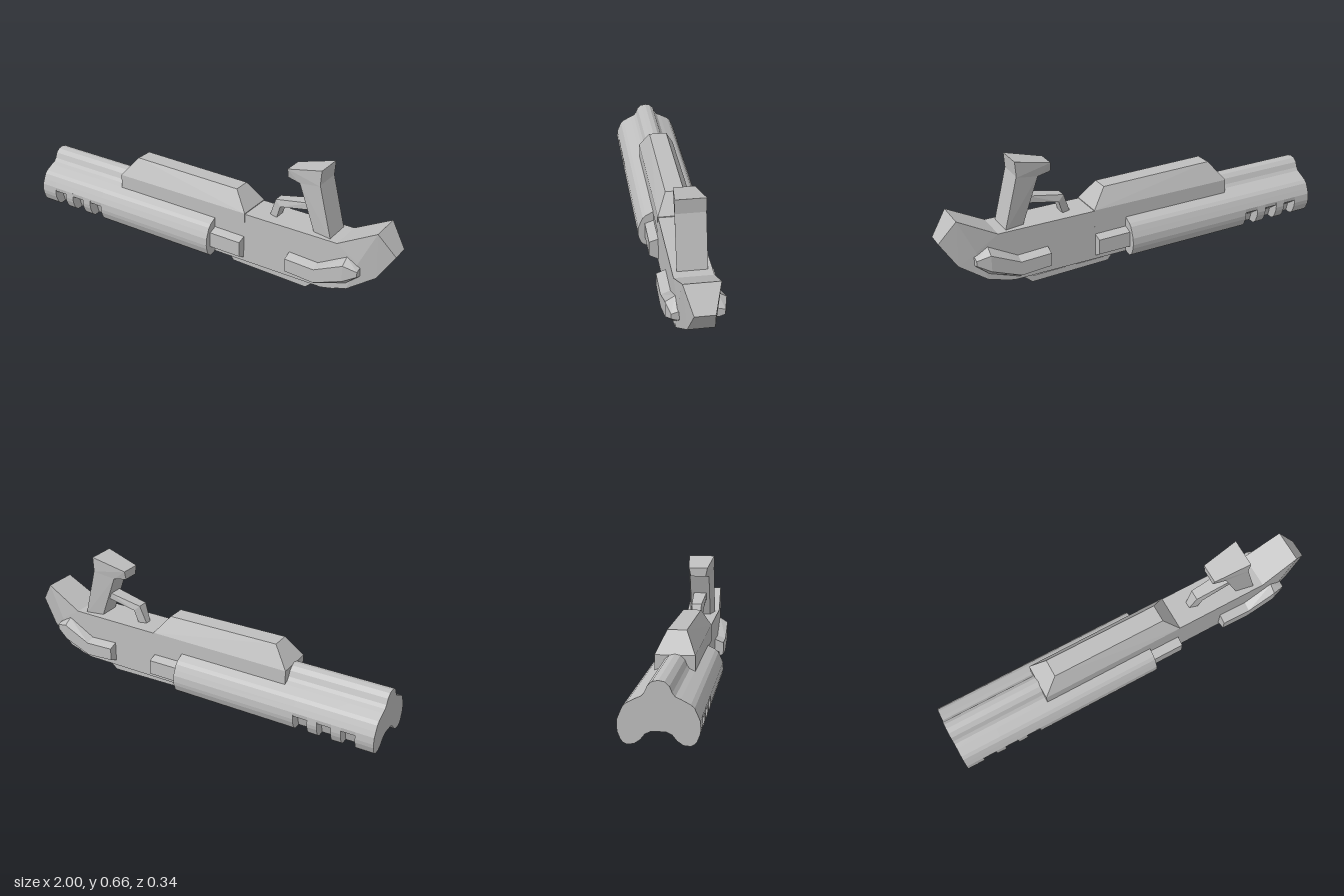
import * as THREE from 'three';
import { ConvexGeometry } from 'three/addons/geometries/ConvexGeometry.js';

const metal = new THREE.MeshStandardMaterial({ color: 0xbebebe });
metal.name = 'plain grey';
metal.flatShading = true;

export function createModel() {
  const model = new THREE.Group();
  model.name = 'blaster';
  const add = (name, geometry) => {
    const mesh = new THREE.Mesh(geometry, metal);
    mesh.name = name;
    model.add(mesh);
    return mesh;
  };
  const shapeOf = (pts) => new THREE.Shape(pts.map(([a, b]) => new THREE.Vector2(a, b)));
  // Side profile given in x, y and extruded to z = +-half
  const slab = (pts, half, holes = []) => {
    const shape = shapeOf(pts);
    holes.forEach((h) => shape.holes.push(shapeOf(h)));
    return new THREE.ExtrudeGeometry(shape, { depth: 2 * half, bevelEnabled: false }).translate(0, 0, -half);
  };
  const hull = (pts) => new ConvexGeometry(pts.map((p) => new THREE.Vector3(...p)));
  // Convex block from points [x, y, half width], mirrored in z
  const block = (pts) => hull(pts.flatMap(([x, y, z]) => [[x, y, z], [x, y, -z]]));

  // Three-lobed barrel shroud: half section as [z, y] from top to bottom
  const upper = [[0, 0.368], [0.025, 0.363], [0.045, 0.345], [0.056, 0.318], [0.068, 0.303],
    [0.09, 0.293], [0.13, 0.272], [0.145, 0.258], [0.157, 0.232], [0.168, 0.205]];
  const lobe = [[0.17, 0.17], [0.167, 0.15], [0.155, 0.12], [0.145, 0.108], [0.13, 0.1]];
  const under = [[0.1, 0.103], [0.075, 0.12], [0.055, 0.145], [0.03, 0.157]];
  const cut = [[0.166, 0.185], [0.115, 0.15]];
  const section = (half) => half.concat(half.slice(1).reverse().map(([z, y]) => [-z, y]));
  const full = section([...upper, ...lobe, ...under]);
  const vented = section([...upper, ...cut, ...under]);
  const stops = [-1, -0.91, -0.84, -0.79, -0.72, -0.67, -0.597, 0.07];
  const droop = new THREE.Matrix4().makeShear(-0.019, 0, 0, 0, 0, 0);
  for (let i = 0; i < stops.length - 1; i++) {
    const g = new THREE.ExtrudeGeometry(shapeOf(i % 2 ? vented : full),
      { depth: stops[i + 1] - stops[i], bevelEnabled: false });
    g.rotateY(Math.PI / 2).translate(stops[i], 0, 0).applyMatrix4(droop).translate(0, -0.019, 0);
    add(i % 2 ? 'barrelVent' : 'barrelShroud', g);
  }

  // Receiver and tapered butt
  add('receiver', slab([[0, 0.087], [0.66, 0.075], [0.73, 0.09], [0.73, 0.33], [0, 0.342]], 0.09));
  add('butt', block([[0.73, 0.33, 0.09], [0.66, 0.075, 0.09], [0.79, 0.11, 0.09], [0.84, 0.26, 0.09],
    [0.92, 0.43, 0.082], [1, 0.32, 0.046], [0.92, 0.195, 0.061]]));

  // Bevelled cover over the barrel
  add('barrelCover', block([[-0.51, 0.274, 0.092], [0.24, 0.254, 0.092], [-0.51, 0.354, 0.092],
    [0.24, 0.342, 0.092], [-0.43, 0.453, 0.045], [0.165, 0.435, 0.045]]));

  // Side blocks and curved rear rails; sections are [x, low, low bevel, high bevel, high, z]
  const frontBlock = [[0.05, 0.105, 0.13, 0.207, 0.222, 0.135], [0.237, 0.102, 0.126, 0.202, 0.216, 0.135]];
  const rearRail = [[0.488, 0.107, 0.128, 0.193, 0.21, 0.135], [0.64, 0.09, 0.115, 0.184, 0.2, 0.135],
    [0.785, 0.14, 0.17, 0.25, 0.277, 0.135], [0.85, 0.195, 0.205, 0.23, 0.238, 0.118]];
  const ring = ([x, a, b, c, d, z], s) =>
    [[x, a, 0.075 * s], [x, a, 0.092 * s], [x, b, z * s], [x, c, z * s], [x, d, 0.092 * s], [x, d, 0.075 * s]];
  for (const [name, rings] of [['sideBlock', frontBlock], ['rearRail', rearRail]]) {
    for (const s of [1, -1]) {
      for (let i = 0; i < rings.length - 1; i++) {
        add((s > 0 ? 'left ' : 'right ') + name, hull([...ring(rings[i], s), ...ring(rings[i + 1], s)]));
      }
    }
  }

  // Thin lower guard with two openings
  add('lowerGuard', slab([[0.07, 0.1], [0.085, 0.08], [0.135, 0.018], [0.545, 0], [0.635, 0.078], [0.62, 0.1]], 0.02, [
    [[0.14, 0.086], [0.165, 0.042], [0.31, 0.038], [0.31, 0.086]],
    [[0.37, 0.086], [0.37, 0.038], [0.54, 0.032], [0.56, 0.05], [0.58, 0.082]],
  ]));

  // Grip column and flared head, narrower towards the front
  add('grip', block([[0.595, 0.32, 0.052], [0.688, 0.32, 0.07], [0.62, 0.585, 0.07], [0.505, 0.565, 0.052]]));
  add('gripHead', block([[0.44, 0.567, 0.04], [0.44, 0.612, 0.05], [0.505, 0.558, 0.052],
    [0.625, 0.656, 0.07], [0.62, 0.578, 0.07]]));

  // Trigger guard, tapering to its front leg
  const guard = slab([[0.335, 0.33], [0.378, 0.33], [0.4, 0.4], [0.56, 0.428], [0.555, 0.462], [0.37, 0.428]], 0.035);
  const pos = guard.attributes.position;
  for (let i = 0; i < pos.count; i++) {
    pos.setZ(i, pos.getZ(i) * Math.min(1, (pos.getX(i) - 0.28) / 0.12));
  }
  guard.computeVertexNormals();
  add('triggerGuard', guard);

  return model;
}
